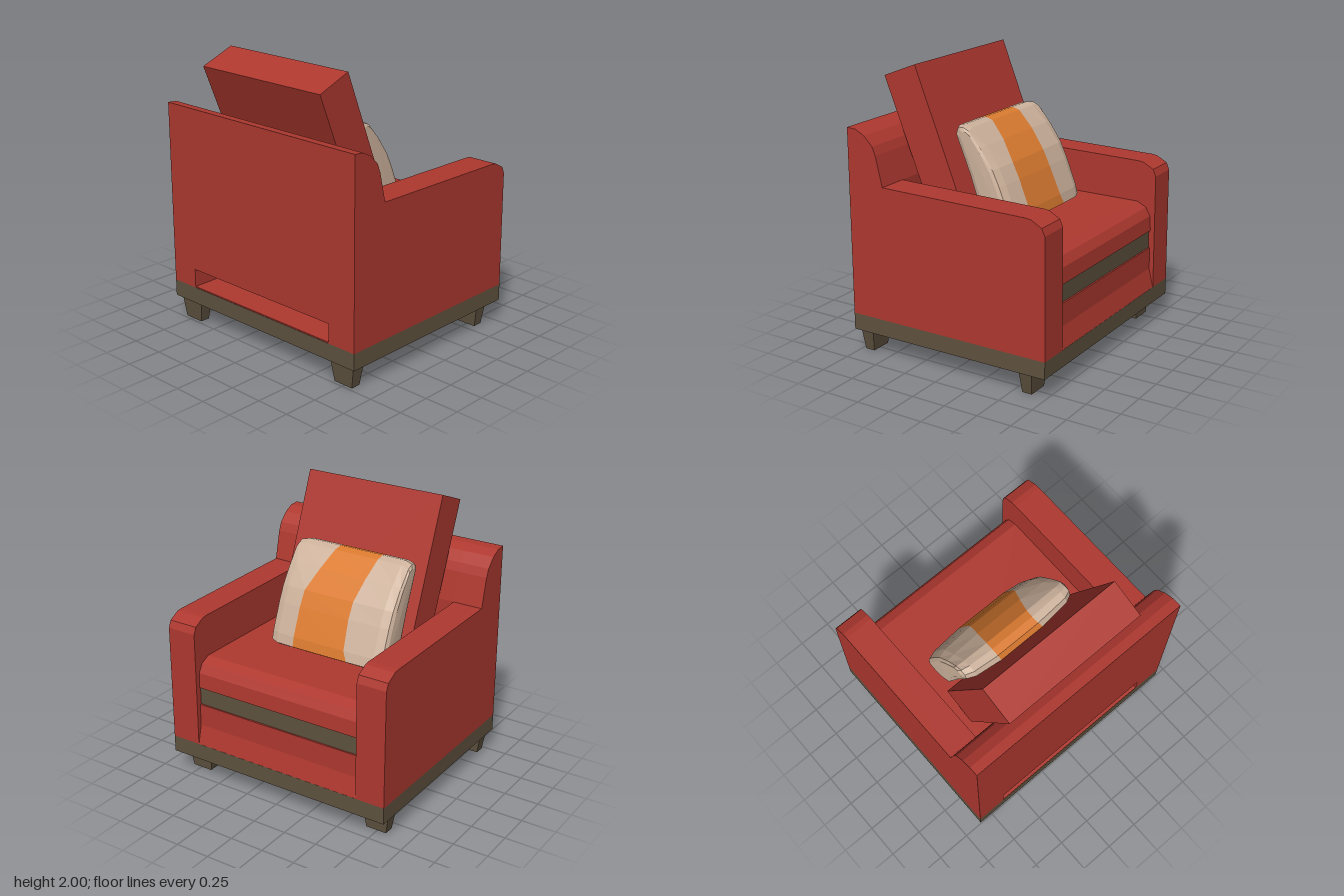
import * as THREE from 'three';

const mat = (name, color) => {
  const m = new THREE.MeshStandardMaterial({ color });
  m.name = name;
  return m;
};

export function createModel() {
  const red = mat('red upholstery', 0xae382f);
  const brown = mat('brown wood', 0x5f523f);
  const cream = mat('cream fabric', 0xcdb29c);
  const orange = mat('orange fabric', 0xdb7b30);
  const chair = new THREE.Group();
  chair.name = 'armchair';

  const add = (name, geometry, material) => {
    const mesh = new THREE.Mesh(geometry, material);
    mesh.name = name;
    chair.add(mesh);
    return mesh;
  };
  // Side profile in x and y, extruded from z0 to z1
  const slab = (name, points, z0, z1, material) => {
    const shape = new THREE.Shape(points.map(([x, y]) => new THREE.Vector2(x, y)));
    const g = new THREE.ExtrudeGeometry(shape, { depth: z1 - z0, bevelEnabled: false });
    return add(name, g.translate(0, 0, z0), material);
  };
  const block = (name, x0, x1, y0, y1, z0, z1, material) => {
    const g = new THREE.BoxGeometry(x1 - x0, y1 - y0, z1 - z0);
    return add(name, g.translate((x0 + x1) / 2, (y0 + y1) / 2, (z0 + z1) / 2), material);
  };

  // Plinth and tapered legs
  block('plinth', -0.77, 0.767, 0.16, 0.28, -0.875, 0.875, brown);
  for (const x of [-0.69, 0.6]) {
    for (const z of [-0.74, 0.74]) {
      const g = new THREE.BoxGeometry(0.1, 0.16, 0.205);
      const p = g.attributes.position;
      for (let i = 0; i < p.count; i++) {
        if (p.getY(i) < 0) p.setXYZ(i, p.getX(i) * 0.72, p.getY(i), p.getZ(i) * 0.75);
      }
      g.computeVertexNormals();
      add('leg', g.translate(x, 0.08, z), brown);
    }
  }

  // Arms with the rounded back rising behind them
  const backCurve = [[-0.49, 1.23], [-0.54, 1.44], [-0.565, 1.5], [-0.63, 1.565], [-0.7, 1.6], [-0.77, 1.605]];
  const arm = [[-0.77, 0.28], [0.767, 0.28], [0.76, 1.12], [0.738, 1.17], [0.66, 1.212], [0.62, 1.217], ...backCurve];
  slab('left arm', arm, 0.653, 0.875, red);
  slab('right arm', arm, -0.875, -0.657, red);
  slab('back', [[-0.77, 0.42], [-0.49, 0.42], ...backCurve], -0.657, 0.653, red);

  // Seat: floor, front rail, lower panel, wooden strip and cushion
  block('floor', -0.769, 0.7, 0.281, 0.289, -0.657, 0.653, red);
  slab('front rail', [[0.6, 0.28], [0.766, 0.28], [0.732, 0.42], [0.6, 0.42]], -0.657, 0.653, red);
  block('lower panel', -0.49, 0.732, 0.42, 0.58, -0.657, 0.653, red);
  block('wooden strip', -0.49, 0.72, 0.58, 0.71, -0.657, 0.653, brown);
  slab('seat cushion', [[-0.49, 0.71], [0.732, 0.71], [0.725, 0.82], [0.69, 0.88], [0.62, 0.915], [-0.49, 0.915]],
    -0.657, 0.653, red);

  // Leaning backrest cushion
  slab('backrest cushion', [[-0.31, 0.9], [-0.06, 0.995], [-0.46, 2], [-0.713, 1.9]], -0.557, 0.53, red);

  // Throw pillow: one cross-section, squeezed in thickness towards both ends
  const section = [[-0.27, 1.525], [-0.245, 1.575], [-0.19, 1.59], [-0.13, 1.575], [-0.01, 1.465], [0.1, 1.33],
    [0.155, 1.22], [0.235, 1.02], [0.25, 0.95], [0.2, 0.92], [0.02, 0.915], [-0.055, 0.95], [-0.15, 1.24]];
  const centre = new THREE.Vector2(0.01, 1.25);
  const along = new THREE.Vector2(-0.37, 0.93).normalize();
  const across = new THREE.Vector2(along.y, -along.x);
  const leftSeam = y => 0.2 - 0.11 * Math.max(0, (y - 1.32) / 0.27);
  const rightSeam = y => -0.2 - 0.055 * Math.max(0, (y - 1.32) / 0.27, (1.05 - y) / 0.13);
  // Each station: z (or seam rule), length scale, thickness scale
  const stations = [[0.412, 0.88, 0.5], [0.4, 0.96, 0.7], [0.345, 1, 0.86], [leftSeam, 1, 1],
    [rightSeam, 1, 1], [-0.44, 1, 0.86], [-0.5, 0.96, 0.7], [-0.515, 0.88, 0.5]];
  const rings = stations.map(([z, su, sv]) => section.map(([x, y]) => {
    const d = new THREE.Vector2(x, y).sub(centre);
    const q = centre.clone().addScaledVector(along, d.dot(along) * su).addScaledVector(across, d.dot(across) * sv);
    return [q.x, q.y, typeof z === 'function' ? z(y) : z];
  }));
  const pillowPart = (name, from, to, material) => {
    const verts = [];
    const n = section.length;
    for (let j = 0; j < n; j++) {
      const k = (j + 1) % n;
      for (let i = from; i < to; i++) {
        const [a, b, c, d] = [rings[i][j], rings[i][k], rings[i + 1][k], rings[i + 1][j]];
        verts.push(...a, ...b, ...c, ...a, ...c, ...d);
      }
      // End caps
      if (from === 0) verts.push(centre.x, centre.y, 0.415, ...rings[0][k], ...rings[0][j]);
      if (to === rings.length - 1) verts.push(centre.x, centre.y, -0.52, ...rings[to][j], ...rings[to][k]);
    }
    const g = new THREE.BufferGeometry();
    g.setAttribute('position', new THREE.Float32BufferAttribute(verts, 3));
    g.computeVertexNormals();
    add(name, g, material);
  };
  pillowPart('pillow left side', 0, 3, cream);
  pillowPart('pillow stripe', 3, 4, orange);
  pillowPart('pillow right side', 4, 7, cream);

  return chair;
}
